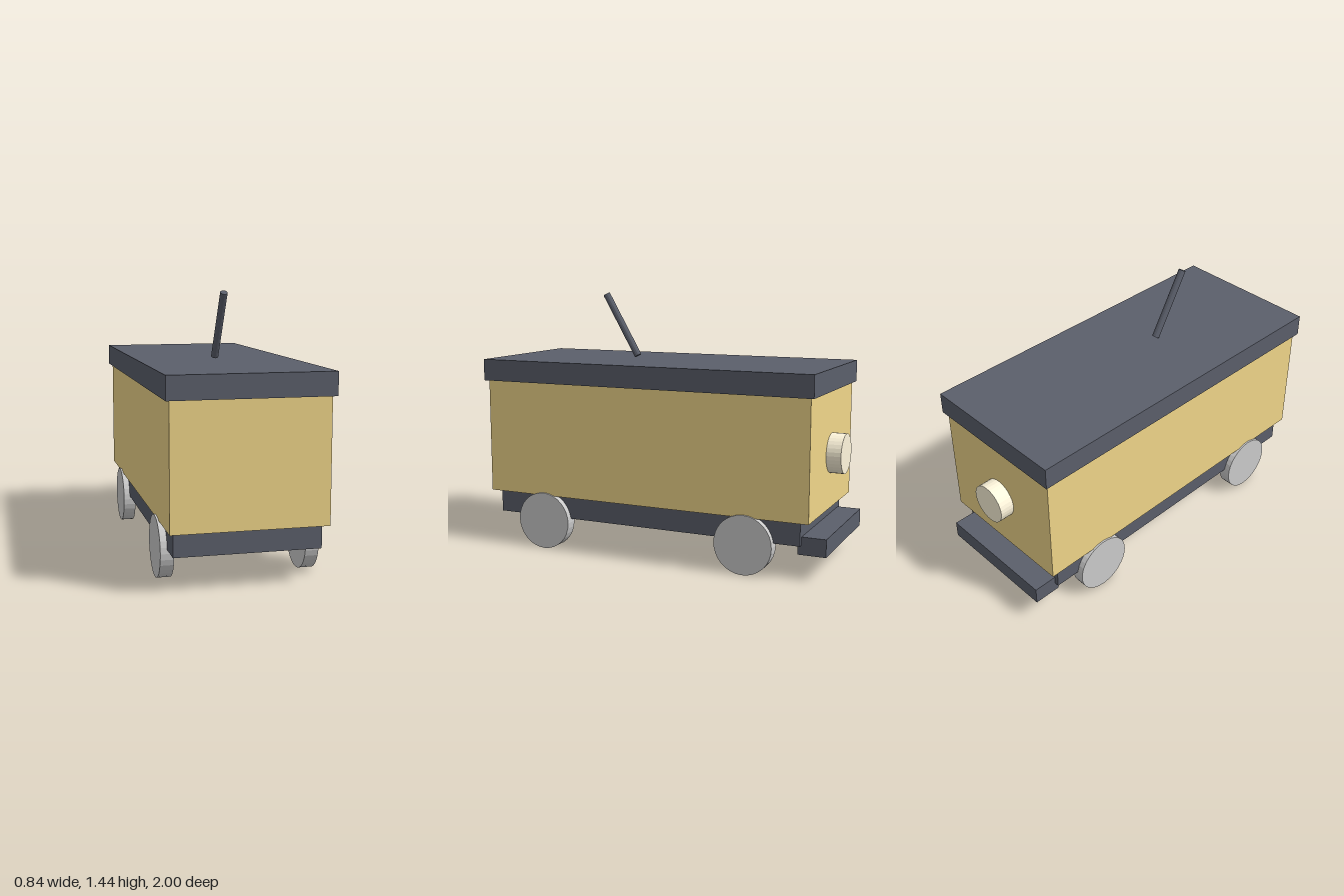
import * as THREE from 'three';

export function createModel() {
  const model = new THREE.Group();
  const material = (color) => new THREE.MeshStandardMaterial({ color, flatShading: true });
  const dark = material(0x5b5f6b);
  const yellow = material(0xf0d68a);
  const cream = material(0xfff6dc);
  const grey = material(0xcccccc);

  const add = (name, geometry, mat, x, y, z) => {
    const mesh = new THREE.Mesh(geometry, mat);
    mesh.name = name;
    mesh.position.set(x, y, z);
    model.add(mesh);
    return mesh;
  };

  // Box given by its width and its extents along y and z
  const box = (name, mat, width, y0, y1, z0, z1) =>
    add(name, new THREE.BoxGeometry(width, y1 - y0, z1 - z0), mat, 0, (y0 + y1) / 2, (z0 + z1) / 2);

  // Carriage, from bottom to top
  box('bumper', dark, 0.7, 0.13, 0.225, -1, -0.85);
  box('chassis', dark, 0.75, 0.18, 0.305, -0.87, 0.93);
  box('body', yellow, 0.8, 0.305, 0.945, -0.92, 0.98);
  box('roof', dark, 0.84, 0.945, 1.065, -0.94, 1);

  // Four wheels
  const wheelGeometry = new THREE.CylinderGeometry(0.16, 0.16, 0.07, 32).rotateZ(Math.PI / 2);
  for (const [end, z] of [['front', 0.63], ['back', -0.57]]) {
    for (const [side, x] of [['Left', 0.375], ['Right', -0.375]]) {
      add(`${end}${side}Wheel`, wheelGeometry, grey, x, 0.16, z);
    }
  }

  // Round lamp on the back wall
  const lampGeometry = new THREE.CylinderGeometry(0.108, 0.108, 0.1, 32).rotateX(Math.PI / 2);
  add('lamp', lampGeometry, cream, 0, 0.605, -0.95);

  // Slanted pole above the roof, leaning forward
  const pole = add('pole', new THREE.CylinderGeometry(0.02, 0.02, 0.4, 12), dark, 0, 1.254, 0.33);
  pole.rotation.x = Math.PI / 6;

  return model;
}
